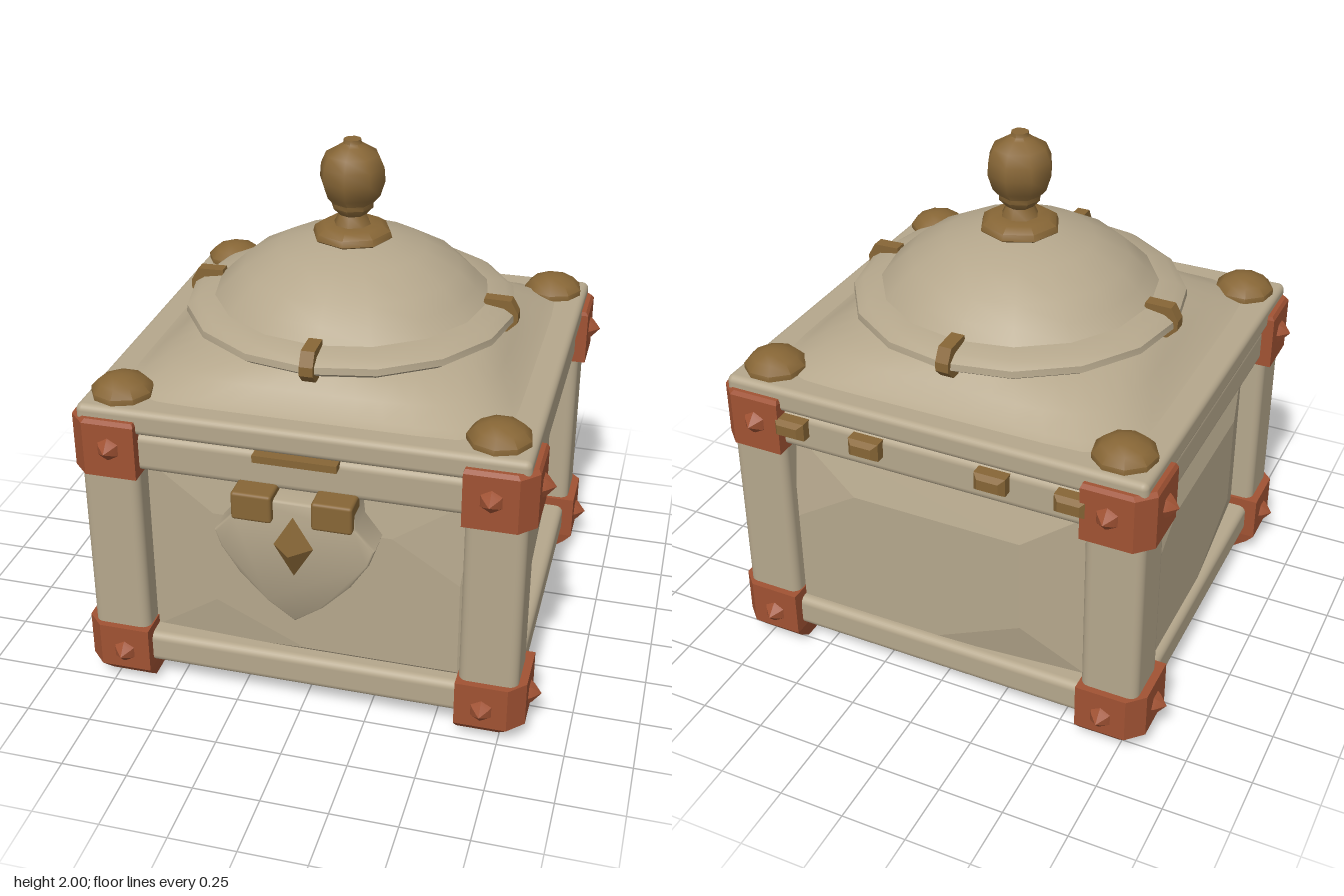
import * as THREE from 'three';
import { toCreasedNormals } from 'three/addons/utils/BufferGeometryUtils.js';
import { RoundedBoxGeometry } from 'three/addons/geometries/RoundedBoxGeometry.js';
import { ConvexGeometry } from 'three/addons/geometries/ConvexGeometry.js';

const material = (name, color) => {
  const m = new THREE.MeshStandardMaterial({ color });
  m.name = name;
  return m;
};
const V = (x, y, z) => new THREE.Vector3(x, y, z);

export function createModel() {
  const stone = material('stone', 0xb5a78c);
  const brass = material('brass', 0x876636);
  const copper = material('copper', 0xa05233);

  const model = new THREE.Group();
  model.name = 'domedChest';
  const chest = new THREE.Group();
  chest.name = 'chest';
  chest.position.z = -0.03;
  model.add(chest);

  const HX = 0.815, HZ = 0.775; // half sizes of the body
  const SIDES = [-1, 1];

  const add = (name, geometry, mat, x = 0, y = 0, z = 0, parent = chest) => {
    const mesh = new THREE.Mesh(geometry, mat);
    mesh.name = name;
    mesh.position.set(x, y, z);
    parent.add(mesh);
    return mesh;
  };
  const lathe = (profile, sides, crease = 0.9) => toCreasedNormals(
    new THREE.LatheGeometry(profile.map(([r, y]) => new THREE.Vector2(r, y)), sides), crease);
  const bar = (w, h, d, r = 0.025) => new RoundedBoxGeometry(w, h, d, 3, r);

  // Body core
  add('bodyCore', new THREE.BoxGeometry(2 * (HX - 0.1), 0.96, 2 * (HZ - 0.1)), stone, 0, 0.6, 0);

  // Rails between the posts, bottom and top
  for (const [y, h] of [[0.165, 0.13], [1.025, 0.15]]) {
    for (const s of SIDES) {
      add('frontBackRail', bar(1.4, h, 0.15, 0.03), stone, 0, y, s * (HZ - 0.09));
      add('sideRail', bar(0.15, h, 1.3, 0.03), stone, s * (HX - 0.09), y, 0);
    }
  }

  // Chipped raised panels: a wall rectangle tapering to an irregular hexagon
  const hexagon = [[-0.34, 0.78], [-0.34, 0.4], [0, 0.24], [0.58, 0.24], [0.58, 0.62], [0.33, 0.78]];
  const panel = (name, angle, half, flip, depth) => {
    const points = hexagon.map(([u, y]) => V(u * flip, y, depth));
    for (const u of SIDES) for (const y of [0.2, 0.97]) points.push(V(u * 0.62, y, 0), V(u * 0.62, y, -0.03));
    const mesh = add(name, new ConvexGeometry(points), stone);
    mesh.rotation.y = angle;
    mesh.position.set(Math.sin(angle) * (half - 0.1), 0, Math.cos(angle) * (half - 0.1));
  };
  panel('frontPanel', 0, HZ, 1, 0.03);
  panel('rightPanel', Math.PI / 2, HX, -1, 0.025);
  panel('backPanel', Math.PI, HZ, -1, 0.06);
  panel('leftPanel', -Math.PI / 2, HX, -1, 0.06);

  // Corners: post, copper brackets with pointed rivets, brass stud on the lid
  const bracketGeometry = (levels, sx, sz) => new ConvexGeometry(levels.flatMap(([y, inner, outer, cut]) =>
    [[inner, inner], [outer, inner], [outer, outer - cut], [outer - cut, outer], [inner, outer]]
      .map(([x, z]) => V(x * sx, y, z * sz))));
  const lowLevels = [[0, -0.11, 0.04, 0.04], [0.05, -0.12, 0.1, 0.06], [0.085, -0.125, 0.13, 0.06], [0.265, -0.125, 0.13, 0.06]];
  const highLevels = [[0.935, -0.125, 0.13, 0.06], [1.145, -0.125, 0.13, 0.06], [1.16, -0.12, 0.12, 0.06]];
  const rivet = lathe([[0.045, 0], [0.035, 0.014], [0, 0.045]], 6, 0.3);
  const stud = lathe([[0.115, 0], [0.115, 0.025], [0.085, 0.055], [0.04, 0.073], [0, 0.077]], 9);
  for (const sx of SIDES) {
    for (const sz of SIDES) {
      const x = sx * 0.715, z = sz * 0.67;
      add('cornerPost', bar(0.22, 0.95, 0.215, 0.035), stone, sx * (HX - 0.11), 0.575, sz * (HZ - 0.108));
      add('lowerBracket', bracketGeometry(lowLevels, sx, sz), copper, x, 0, z);
      add('upperBracket', bracketGeometry(highLevels, sx, sz), copper, x, 0, z);
      for (const y of [0.16, 1.05]) {
        add('rivet', rivet, copper, x - sx * 0.025, y, sz * 0.799).rotation.x = sz * Math.PI / 2;
        add('rivet', rivet, copper, sx * 0.844, y, z - sz * 0.025).rotation.z = -sx * Math.PI / 2;
      }
      add('cornerStud', stud, brass, sx * 0.685, 1.197, sz * 0.64);
    }
  }

  // Lid rim
  add('lidRim', bar(1.635, 0.098, 1.55, 0.025), stone, 0, 1.152, 0);

  // Lid shoulder: rings going from a rounded square to a circle
  const rings = [[0.73, 1.195, 9], [0.68, 1.215, 8], [0.62, 1.265, 5], [0.56, 1.315, 2.6], [0.5, 1.345, 2]];
  const N = 48, positions = [], index = [];
  rings.forEach(([r, y, p], i) => {
    for (let j = 0; j < N; j++) {
      const a = j / N * Math.PI * 2, c = Math.cos(a), s = Math.sin(a);
      const k = r / Math.pow(Math.abs(c) ** p + Math.abs(s) ** p, 1 / p);
      positions.push(c * k, y, s * k * (i < 3 ? 0.96 : 1));
      if (i === 0) continue;
      const a0 = (i - 1) * N + j, a1 = (i - 1) * N + (j + 1) % N;
      index.push(a0, a0 + N, a1, a1, a0 + N, a1 + N);
    }
  });
  const shoulder = new THREE.BufferGeometry();
  shoulder.setAttribute('position', new THREE.Float32BufferAttribute(positions, 3));
  shoulder.setIndex(index);
  shoulder.computeVertexNormals();
  add('lidShoulder', shoulder, stone);

  // Dome with its flange
  add('dome', lathe([[0.48, 1.325], [0.59, 1.33], [0.628, 1.355], [0.625, 1.38], [0.59, 1.403], [0.52, 1.415],
    [0.47, 1.465], [0.41, 1.52], [0.28, 1.59], [0.15, 1.625], [0, 1.635]], 16, 0.6), stone);

  // Brass clips gripping the flange
  const clipShape = new THREE.Shape([[0.49, 1.31], [0.6, 1.312], [0.638, 1.35], [0.638, 1.385], [0.61, 1.435], [0.51, 1.437]]
    .map(([x, y]) => new THREE.Vector2(x, y)));
  const clip = new THREE.ExtrudeGeometry(clipShape, { depth: 0.05, bevelEnabled: false }).translate(0, 0, -0.025);
  for (let i = 0; i < 4; i++) add('flangeClip', clip, brass).rotation.y = i * Math.PI / 2;

  // Finial
  add('finial', lathe([[0.13, 1.615], [0.152, 1.632], [0.145, 1.655], [0.115, 1.675], [0.07, 1.677], [0.052, 1.715],
    [0.08, 1.745], [0.08, 1.762], [0.105, 1.79], [0.124, 1.85], [0.12, 1.9], [0.1, 1.945], [0.05, 1.975],
    [0.035, 1.985], [0.033, 2], [0, 2]], 8), brass);

  // Lock: hanging shield, two straps, diamond boss and rim strip
  const lock = new THREE.Group();
  lock.name = 'lock';
  chest.add(lock);
  const half = [[0.21, 0.94], [0.22, 0.865], [0.285, 0.79], [0.265, 0.73], [0.2, 0.63], [0.1, 0.525]];
  const outline = [...half.map(([x, y]) => [-x, y]), [0, 0.455], ...half.map((p) => p).reverse()];
  const shield = new THREE.ExtrudeGeometry(new THREE.Shape(outline.map(([x, y]) => new THREE.Vector2(x, y))),
    { depth: 0.12, bevelSize: 0.008, bevelThickness: 0.015, bevelSegments: 2 });
  add('lockShield', toCreasedNormals(shield, 0.7), stone, 0, 0, 0.688, lock);
  for (const s of SIDES) add('lockStrap', bar(0.148, 0.11, 0.12, 0.012), brass, s * 0.146, 0.92, 0.79, lock);
  add('lockDiamond', new THREE.OctahedronGeometry(1).scale(0.074, 0.124, 0.07), brass, 0, 0.768, 0.822, lock);
  add('rimStrip', new THREE.BoxGeometry(0.305, 0.028, 0.06), brass, 0, 1.091, 0.77, lock);

  // Back hinges, narrowing outward
  for (const x of [-0.555, -0.255, 0.24, 0.545]) {
    const points = [];
    for (const sx of SIDES) for (const sy of SIDES) {
      points.push(V(sx * 0.06, sy * 0.035, 0.05), V(sx * 0.06, sy * 0.035, -0.015), V(sx * 0.04, sy * 0.02, -0.035));
    }
    add('backHinge', new ConvexGeometry(points), brass, x, 1.055, -0.78);
  }

  return model;
}
